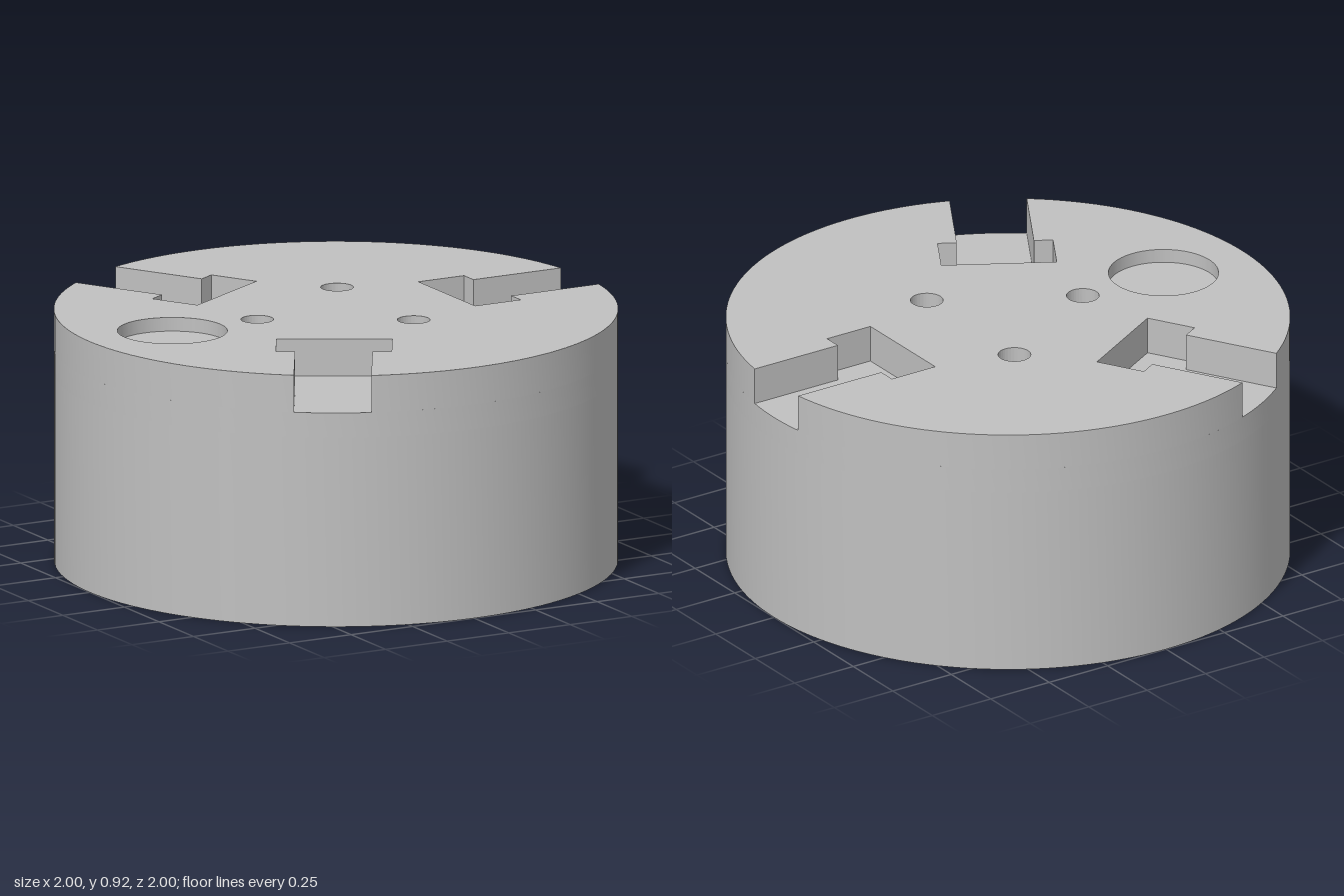
import * as THREE from 'three';
import { toCreasedNormals } from 'three/addons/utils/BufferGeometryUtils.js';

const OUTER = 1, INNER = 0.947;
const CEILING = 0.69, SLOT_FLOOR = 0.78, TOP = 0.915;
const POCKET = { x: -0.665, r: 0.195 };

const grey = new THREE.MeshStandardMaterial({ color: 0xc0c0c0 });
grey.name = 'grey';

function circle(Type, r, x = 0, y = 0) {
  const c = new Type();
  c.absarc(x, y, r, 0, Math.PI * 2, false);
  return c;
}

// Stands a flat outline up from y0 to y1, smooth round the curves
function layer(name, shape, y0, y1, curveSegments = 64) {
  const geo = new THREE.ExtrudeGeometry(shape, { depth: y1 - y0, bevelEnabled: false, curveSegments });
  geo.rotateX(-Math.PI / 2);
  geo.translate(0, y0, 0);
  const mesh = new THREE.Mesh(toCreasedNormals(geo, 0.5), grey);
  mesh.name = name;
  return mesh;
}

// Disc outline with three T-shaped slots opening at the rim
function slottedDisc() {
  const half = 0.137, headHalf = 0.205, headIn = 0.45, headOut = 0.635;
  const delta = Math.asin(half / OUTER), third = Math.PI * 2 / 3;
  const rim = Math.cos(delta) * OUTER;
  const slot = [
    [rim, -half], [headOut, -half], [headOut, -headHalf], [headIn, -headHalf],
    [headIn, headHalf], [headOut, headHalf], [headOut, half], [rim, half],
  ];
  const points = [];
  for (let k = 0; k < 3; k++) {
    const a = k * third;
    for (const [x, y] of slot) {
      points.push(new THREE.Vector2(x, y).rotateAround(new THREE.Vector2(), a));
    }
    const steps = 44;
    for (let i = 1; i < steps; i++) {
      const t = a + delta + (third - 2 * delta) * i / steps;
      points.push(new THREE.Vector2(Math.cos(t) * OUTER, Math.sin(t) * OUTER));
    }
  }
  return new THREE.Shape(points);
}

export function createModel() {
  const model = new THREE.Group();
  model.name = 'slottedCap';

  // Hollow skirt, open underneath
  const skirt = circle(THREE.Shape, OUTER);
  skirt.holes.push(circle(THREE.Path, INNER));
  model.add(layer('skirt', skirt, 0, CEILING));

  // Lower half of the top plate, forming the slot floors
  const plate = circle(THREE.Shape, OUTER);
  plate.holes.push(circle(THREE.Path, POCKET.r, POCKET.x));
  model.add(layer('lowerPlate', plate, CEILING, SLOT_FLOOR));

  // Upper half with slots, round pocket and three small holes
  const top = slottedDisc();
  top.holes.push(circle(THREE.Path, POCKET.r, POCKET.x));
  for (let k = 0; k < 3; k++) {
    const a = Math.PI / 3 + k * Math.PI * 2 / 3;
    top.holes.push(circle(THREE.Path, 0.058, Math.cos(a) * 0.32, Math.sin(a) * 0.32));
  }
  model.add(layer('upperPlate', top, SLOT_FLOOR, TOP));

  // Thin web closing the pocket
  model.add(layer('pocketFloor', circle(THREE.Shape, POCKET.r, POCKET.x), 0.85, 0.865));

  // Central boss hanging from the ceiling
  const boss = circle(THREE.Shape, 0.117);
  boss.holes.push(circle(THREE.Path, 0.043));
  model.add(layer('centreBoss', boss, 0.42, CEILING, 24));

  return model;
}
